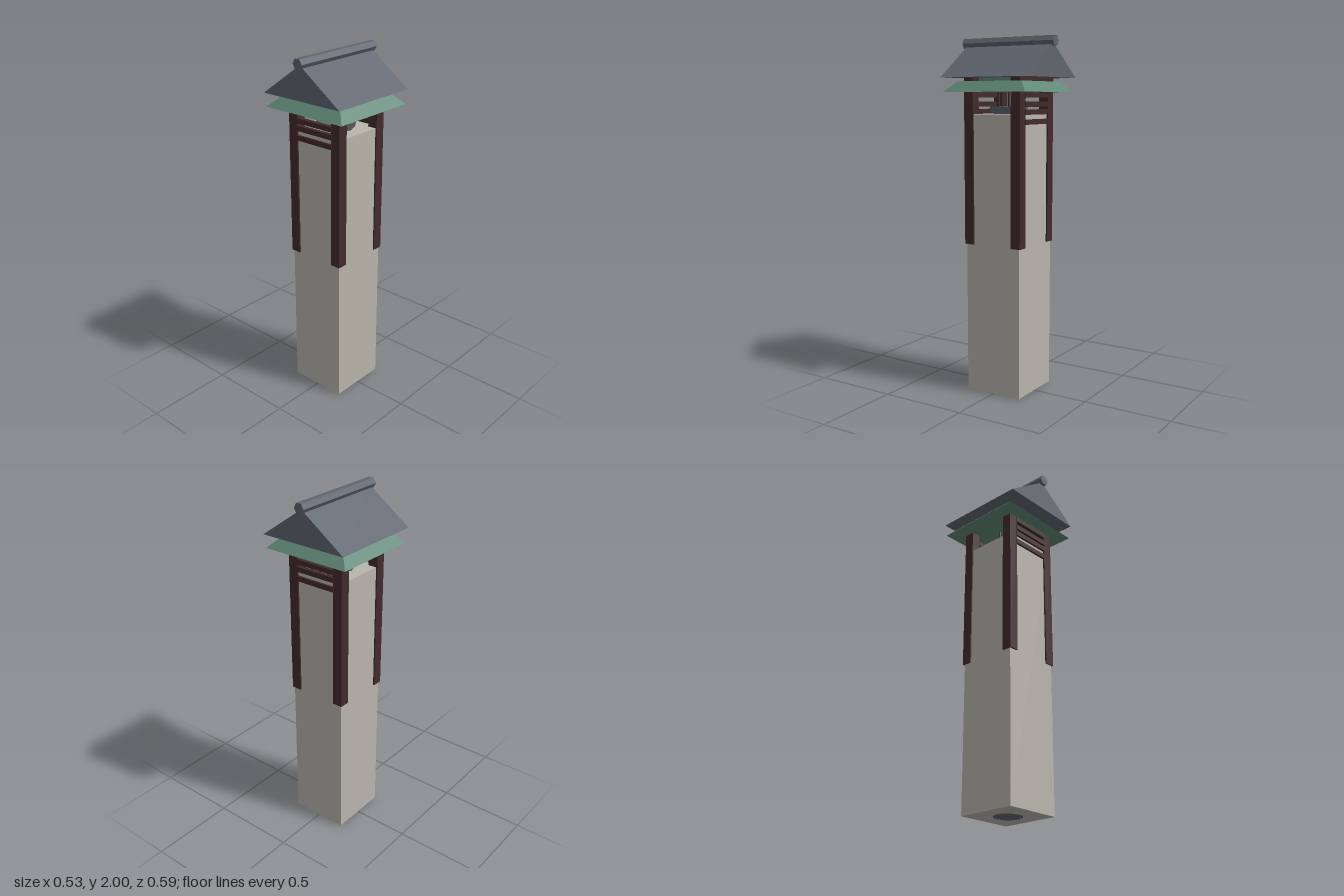
import * as THREE from 'three';

const mat = (name, color) => {
  const m = new THREE.MeshStandardMaterial({ color, flatShading: true });
  m.name = name;
  return m;
};

export function createModel() {
  const group = new THREE.Group();
  const stone = mat('stone', 0xb8b5ac);
  const wood = mat('dark wood', 0x432a2c);
  const green = mat('green eave', 0x5f8878);
  const slate = mat('slate', 0x5f656e);

  const add = (name, geometry, material, x, y, z) => {
    const mesh = new THREE.Mesh(geometry, material);
    mesh.name = name;
    mesh.position.set(x, y, z);
    group.add(mesh);
    return mesh;
  };
  const box = (name, material, w, h, d, x, y, z) =>
    add(name, new THREE.BoxGeometry(w, h, d), material, x, y, z);

  // Stone shaft with a slate disc underneath
  box('shaft', stone, 0.34, 1.578, 0.345, 0, 0.791, 0);
  add('baseDisc', new THREE.CylinderGeometry(0.08, 0.08, 0.004, 12), slate, 0, 0.002, 0);

  // Corner posts
  for (const x of [-0.149, 0.149]) {
    for (const z of [-0.152, 0.152]) {
      box('cornerPost', wood, 0.058, 0.93, 0.058, x, 1.318, z);
    }
  }

  // Rails and top beams on the front and back
  for (const side of [-1, 1]) {
    for (const y of [1.685, 1.635, 1.593, 1.54]) {
      box('rail', wood, 0.25, 0.028, 0.025, 0, y, side * 0.173);
    }
    box('topBeam', wood, 0.35, 0.03, 0.058, 0, 1.768, side * 0.152);
  }

  // Lantern plate with thin spindles
  add('lanternPlate', new THREE.CylinderGeometry(0.11, 0.1, 0.04, 8), slate, 0, 1.602, 0);
  for (let i = 0; i < 4; i++) {
    const a = (i * Math.PI) / 2;
    add('spindle', new THREE.CylinderGeometry(0.007, 0.007, 0.09, 6), wood,
      0.068 * Math.cos(a), 1.66, 0.068 * Math.sin(a));
  }
  add('centreSpindle', new THREE.CylinderGeometry(0.007, 0.007, 0.09, 6), wood, 0, 1.66, 0);

  // Flared lower eave: four-sided frustum and its core
  const eave = new THREE.CylinderGeometry(0.205 * Math.SQRT2, 0.263 * Math.SQRT2, 0.058, 4);
  eave.rotateY(Math.PI / 4);
  add('lowerEave', eave, green, 0, 1.73, 0);
  box('eaveCore', green, 0.24, 0.03, 0.244, 0, 1.768, 0);

  // Gable roof
  const gable = new THREE.Shape();
  gable.moveTo(-0.263, 0);
  gable.lineTo(0.263, 0);
  gable.lineTo(0, 0.185);
  gable.closePath();
  const roof = new THREE.ExtrudeGeometry(gable, { depth: 0.555, bevelEnabled: false });
  roof.translate(0, 0, -0.2775);
  add('gableRoof', roof, slate, 0, 1.78, 0);

  // Six-sided ridge pole, flat on top
  const ridge = new THREE.CylinderGeometry(0.031, 0.031, 0.59, 6);
  ridge.rotateY(Math.PI / 2);
  ridge.rotateX(Math.PI / 2);
  add('ridgePole', ridge, slate, 0, 1.973, 0);

  return group;
}
